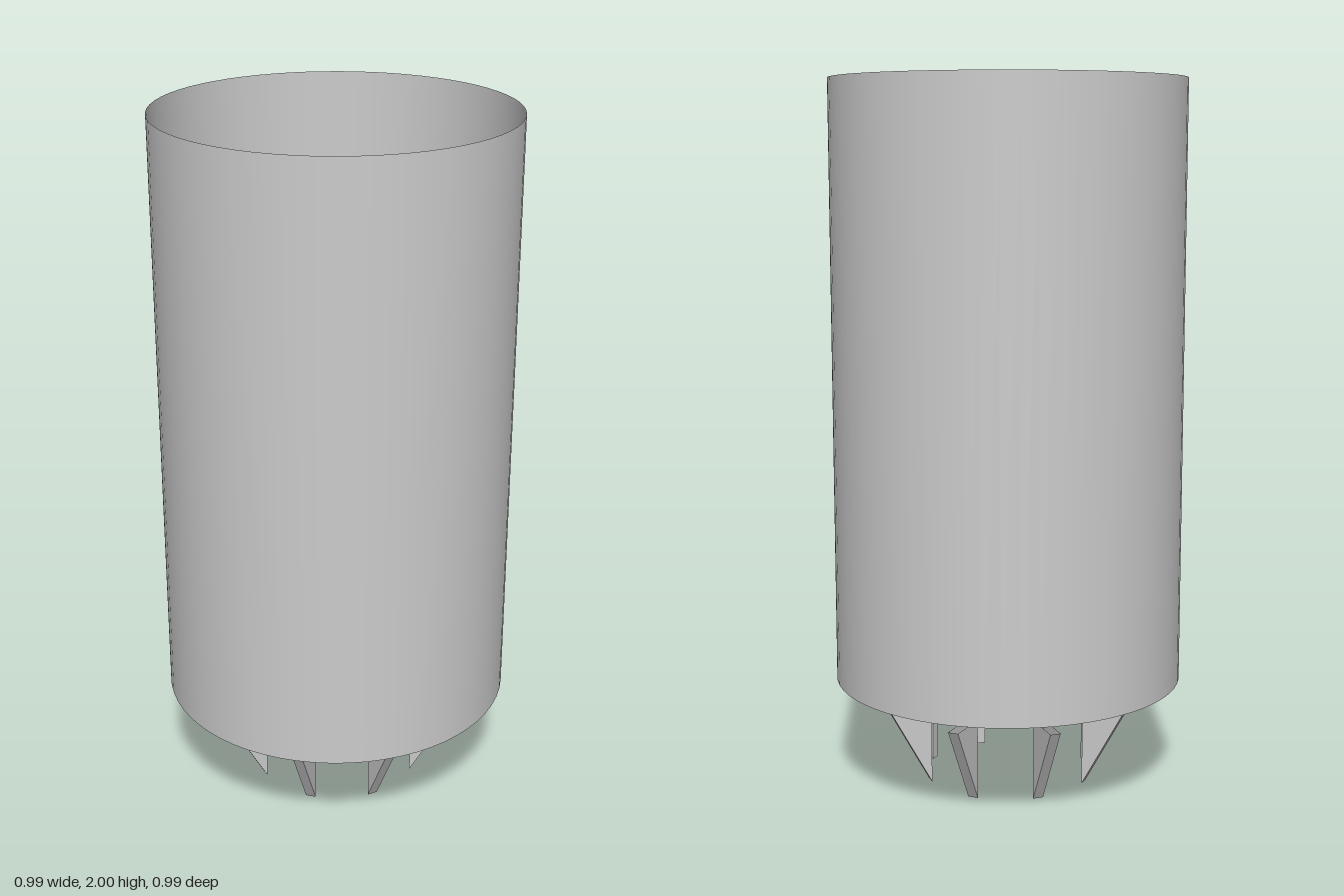
import * as THREE from 'three';

const material = new THREE.MeshStandardMaterial({ color: 0xcccccc, side: THREE.DoubleSide });

// Thin wedge fin, open at the top: vertical inner edge, sloping outer edge
function finGeometry(inner, outer, height, width) {
  const h = width / 2;
  const points = [];
  for (const z of [h, -h]) points.push(inner, 0, z, outer, height, z, inner, height, z);
  const geometry = new THREE.BufferGeometry();
  geometry.setAttribute('position', new THREE.Float32BufferAttribute(points, 3));
  geometry.setIndex([
    0, 1, 2, 3, 5, 4, // two flat sides
    0, 3, 4, 0, 4, 1, // sloping outer face
    0, 2, 5, 0, 5, 3, // upright inner face
  ]);
  const flat = geometry.toNonIndexed();
  flat.computeVertexNormals();
  return flat;
}

export function createModel() {
  const model = new THREE.Group();
  model.name = 'finnedTube';

  // Open thin-walled body
  const bottom = 0.3, top = 2;
  const body = new THREE.Mesh(
    new THREE.CylinderGeometry(0.497, 0.497, top - bottom, 64, 1, true), material);
  body.name = 'tubeBody';
  body.position.y = (top + bottom) / 2;
  model.add(body);

  // Ring of eight fins below the body
  const fins = new THREE.Group();
  fins.name = 'finRing';
  const geometry = finGeometry(0.24, 0.367, 0.23, 0.03);
  for (let i = 0; i < 8; i++) {
    const fin = new THREE.Mesh(geometry, material);
    fin.name = `fin${i + 1}`;
    fin.rotation.y = (i * Math.PI) / 4;
    fins.add(fin);
  }
  model.add(fins);
  return model;
}
